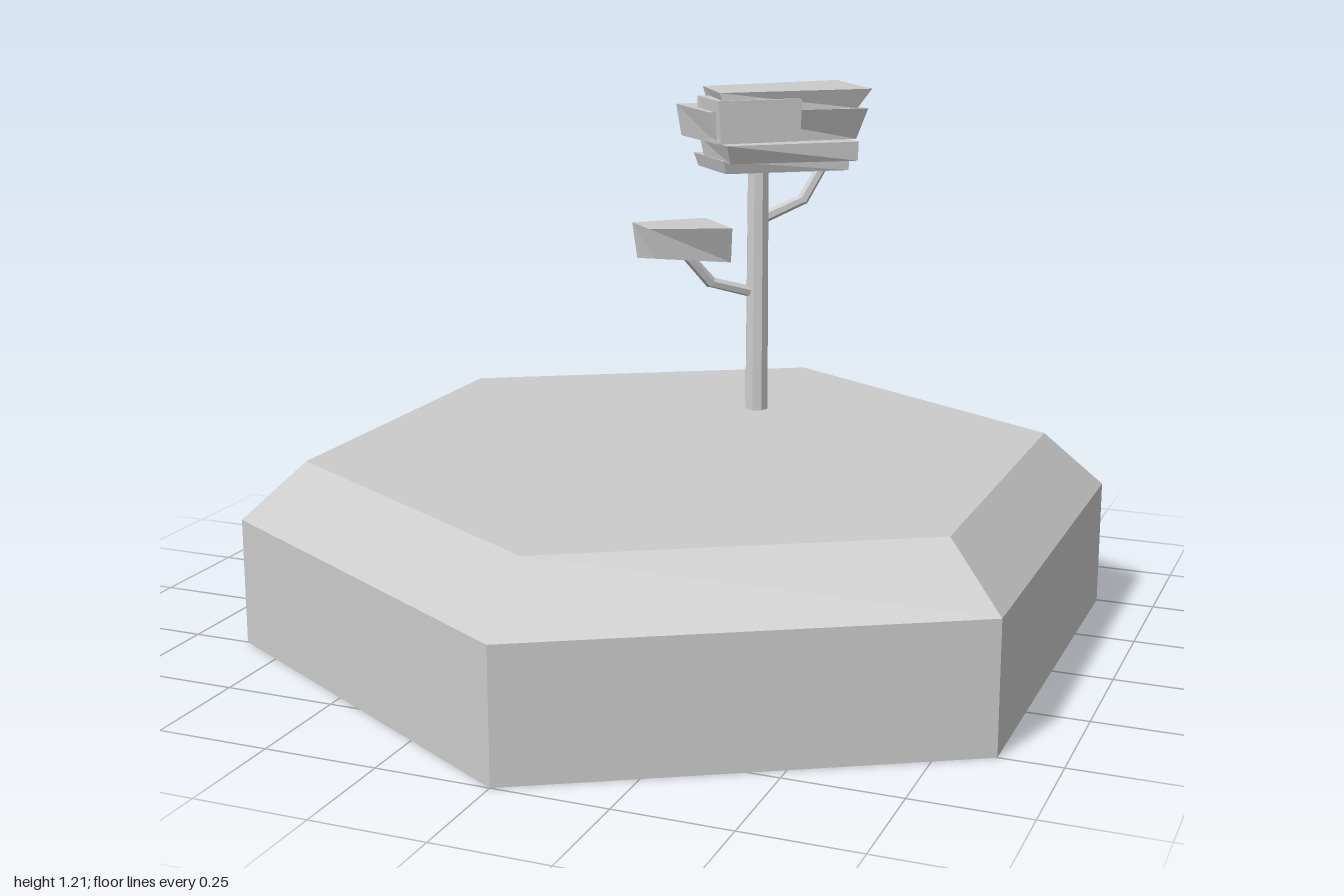
import * as THREE from 'three';

const material = new THREE.MeshStandardMaterial({ color: 0xcccccc, flatShading: true });

function part(name, geometry) {
  const mesh = new THREE.Mesh(geometry, material);
  mesh.name = name;
  return mesh;
}

// Solid between two four-cornered outlines; corners are [x, z] or [x, z, own height],
// listed left, front, right, back.
function slab(name, yTop, top, yBottom, bottom) {
  const corners = [
    ...top.map(([x, z, y = yTop]) => [x, y, z]),
    ...bottom.map(([x, z, y = yBottom]) => [x, y, z]),
  ];
  const index = [0, 1, 2, 0, 2, 3, 4, 6, 5, 4, 7, 6];
  for (let i = 0; i < 4; i++) {
    const j = (i + 1) % 4;
    index.push(i, i + 4, j + 4, i, j + 4, j);
  }
  const geometry = new THREE.BufferGeometry();
  geometry.setAttribute('position', new THREE.Float32BufferAttribute(corners.flat(), 3));
  geometry.setIndex(index);
  const flat = geometry.toNonIndexed();
  flat.computeVertexNormals();
  return part(name, flat);
}

// Bent branch: one tapering stick per pair of points, overlapping at the bends
function branch(name, points, radius) {
  const group = new THREE.Group();
  group.name = name;
  const up = new THREE.Vector3(0, 1, 0);
  const path = points.map((p) => new THREE.Vector3(...p));
  for (let i = 0; i < path.length - 1; i++) {
    const along = path[i + 1].clone().sub(path[i]);
    const stick = part(name + 'Segment',
      new THREE.CylinderGeometry(radius * 0.9, radius, along.length() + radius * 0.7, 6));
    stick.position.copy(path[i]).addScaledVector(along, 0.5);
    stick.quaternion.setFromUnitVectors(up, along.normalize());
    group.add(stick);
  }
  return group;
}

export function createModel() {
  const model = new THREE.Group();
  model.name = 'treeTile';

  // Six-sided ground tile with a bevelled rim
  const profile = [[0, 0], [1, 0], [1, 0.29], [0.853, 0.42], [0, 0.42]]
    .map(([r, y]) => new THREE.Vector2(r, y));
  model.add(part('groundTile', new THREE.LatheGeometry(profile, 6)));

  // Trunk
  const trunk = part('trunk', new THREE.CylinderGeometry(0.026, 0.029, 0.64, 8));
  trunk.position.set(0.03, 0.72, -0.402);
  model.add(trunk);

  // Branches
  model.add(
    branch('lowerBranch', [[0.03, 0.707, -0.402], [-0.06, 0.742, -0.32], [-0.11, 0.825, -0.265]], 0.014),
    branch('upperBranch', [[0.03, 0.885, -0.402], [0.118, 0.93, -0.478], [0.165, 1.03, -0.52]], 0.014),
  );

  // Canopy, from the top layer down
  const canopy = new THREE.Group();
  canopy.name = 'canopy';
  canopy.add(
    slab('topLeaves',
      1.206, [[-0.095, -0.357], [0, -0.22], [0.296, -0.447], [0.153, -0.617]],
      1.16, [[-0.08, -0.355], [0.015, -0.225], [0.263, -0.44], [0.135, -0.59]]),
    slab('sideLeaves',
      1.188, [[-0.09, -0.31], [0, -0.213], [0.16, -0.338], [0.07, -0.44]],
      1.09, [[-0.09, -0.31], [0.005, -0.217], [0.157, -0.338], [0.07, -0.44]]),
    slab('middleLeaves',
      1.16, [[-0.168, -0.368], [-0.025, -0.222], [0.288, -0.445], [0.074, -0.62]],
      1.085, [[-0.155, -0.37], [-0.01, -0.235], [0.255, -0.46], [0.12, -0.655]]),
    slab('lowerLeaves',
      1.085, [[-0.095, -0.34], [0.02, -0.215], [0.277, -0.41], [0.13, -0.57]],
      1.04, [[-0.085, -0.34], [0.02, -0.24], [0.275, -0.41], [0.13, -0.57]]),
    slab('bottomLeaves',
      1.044, [[-0.127, -0.38], [0, -0.25], [0.247, -0.435], [0.12, -0.605]],
      1.013, [[-0.115, -0.38], [0, -0.262], [0.245, -0.435], [0.12, -0.605]]),
  );
  model.add(canopy);

  // Separate leaf clump on the lower branch
  model.add(slab('branchLeaves',
    0.887, [[-0.234, -0.251], [-0.159, -0.177], [0.02, -0.254], [-0.095, -0.378]],
    0.8, [[-0.225, -0.26], [-0.15, -0.188, 0.815], [0.005, -0.286], [-0.095, -0.368]]));

  return model;
}
